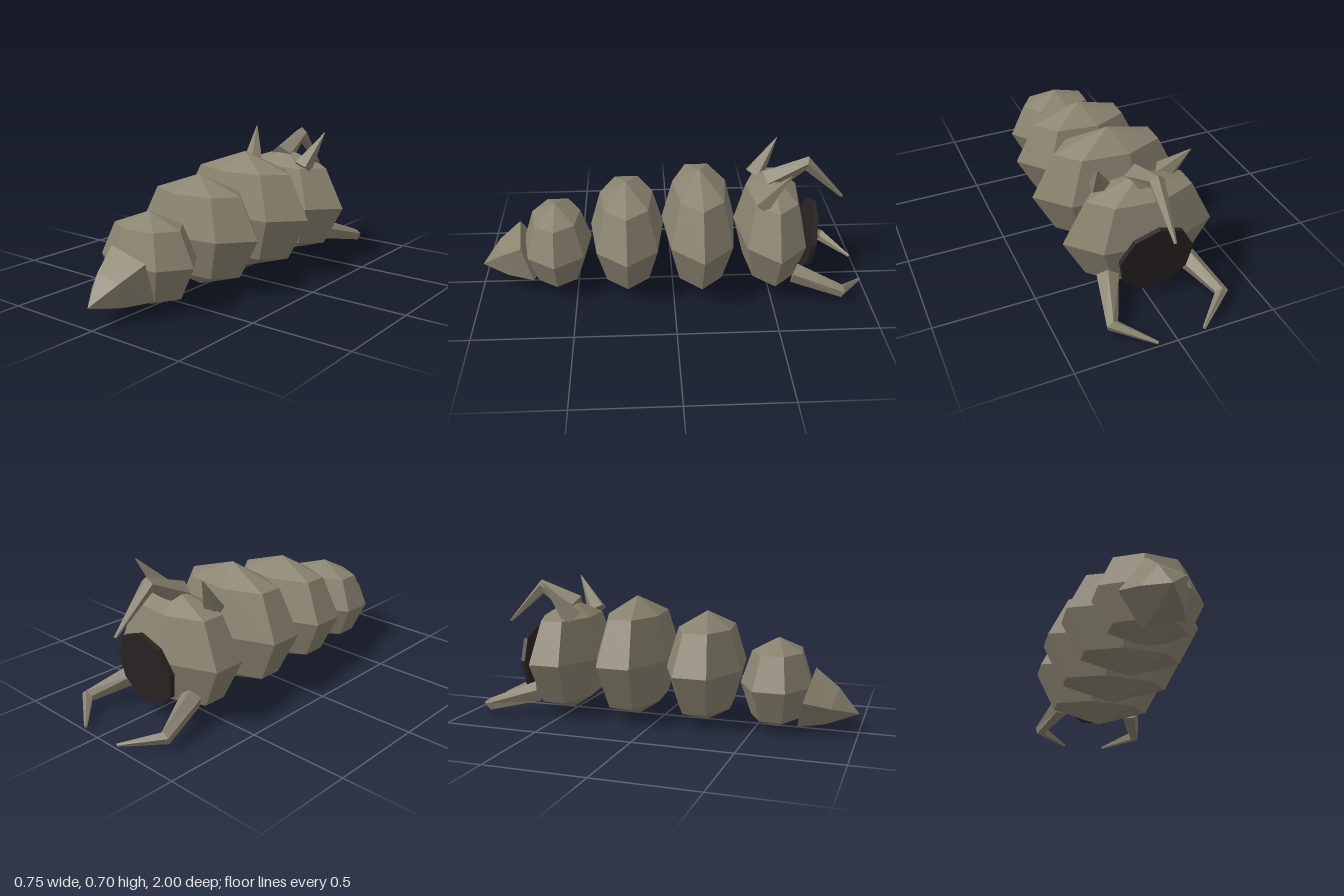
import * as THREE from 'three';

const hide = new THREE.MeshStandardMaterial({ color: 0x8a8370, flatShading: true });
const dark = new THREE.MeshStandardMaterial({ color: 0x2a2424, flatShading: true });
const MID = -0.02; // symmetry plane of the body

// Tapered, bent, faceted limb: rings of the given radii around each path point
function limbGeometry(path, radii, sides = 5, turn = 0) {
  const pts = path.map((p) => new THREE.Vector3(...p));
  const up = new THREE.Vector3(0, 1, 0);
  const rings = pts.map((p, i) => {
    const before = pts[Math.max(i - 1, 0)], after = pts[Math.min(i + 1, pts.length - 1)];
    const t = after.clone().sub(before).normalize();
    const n = up.clone().addScaledVector(t, -up.dot(t)).normalize();
    const u = t.clone().cross(n);
    return Array.from({ length: sides }, (_, j) => {
      const a = turn + (j / sides) * Math.PI * 2;
      return p.clone().addScaledVector(n, Math.cos(a) * radii[i]).addScaledVector(u, Math.sin(a) * radii[i]);
    });
  });
  const out = [];
  const tri = (...vs) => vs.forEach((v) => out.push(v.x, v.y, v.z));
  const last = rings.length - 1;
  for (let j = 0; j < sides; j++) {
    const k = (j + 1) % sides;
    for (let i = 0; i < last; i++) {
      const a = rings[i], b = rings[i + 1];
      tri(a[j], a[k], b[k]);
      tri(a[j], b[k], b[j]);
    }
    tri(pts[0], rings[0][k], rings[0][j]);
    tri(pts[last], rings[last][j], rings[last][k]);
  }
  const geo = new THREE.BufferGeometry();
  geo.setAttribute('position', new THREE.Float32BufferAttribute(out, 3));
  geo.computeVertexNormals();
  return geo;
}

export function createModel() {
  const model = new THREE.Group();
  const add = (name, geometry, material = hide) => {
    const mesh = new THREE.Mesh(geometry, material);
    mesh.name = name;
    model.add(mesh);
    return mesh;
  };

  // Body segments, tail to head: z, centre height, half width, half height, half depth
  [
    [0.6, 0.228, 0.266, 0.228, 0.18],
    [0.235, 0.286, 0.355, 0.284, 0.196],
    [-0.14, 0.315, 0.397, 0.315, 0.197],
    [-0.515, 0.3, 0.382, 0.297, 0.188],
  ].forEach(([z, y, rx, ry, rz], i) => {
    const seg = add(i === 3 ? 'headSegment' : `bodySegment${i + 1}`,
      new THREE.SphereGeometry(1, 7, 4, Math.PI));
    seg.scale.set(rx, ry, rz);
    seg.position.set(MID - 0.001, y, z);
  });

  // Pointed tail
  add('tailSpike', limbGeometry(
    [[MID, 0.173, 0.75], [MID, 0.138, 0.877], [MID, 0.1, 1]], [0.168, 0.103, 0.001], 5, Math.PI / 2));

  // Dark mouth disc, leaning back at the top
  const mouth = add('mouth', new THREE.CylinderGeometry(0.187, 0.187, 0.022, 9), dark);
  mouth.position.set(MID, 0.248, -0.713);
  mouth.rotation.x = -Math.PI / 2 - 0.12;

  // Central horn, bent down over the mouth
  add('centreHorn', limbGeometry(
    [[MID, 0.555, -0.49], [MID, 0.655, -0.68], [MID, 0.46, -0.88]], [0.065, 0.038, 0.008]));

  // Mirrored mandibles and brow spikes
  for (const [side, s] of [['left', 1], ['right', -1]]) {
    add(`${side}Mandible`, limbGeometry([
      [MID + s * 0.2, 0.13, -0.62],
      [MID + s * 0.28, 0.06, -0.855],
      [MID + s * 0.115, 0.015, -0.993],
    ], [0.055, 0.033, 0.008]));
    add(`${side}BrowSpike`, limbGeometry([
      [MID + s * 0.165, 0.515, -0.44],
      [MID + s * 0.228, 0.697, -0.563],
    ], [0.055, 0.002]));
  }

  return model;
}
